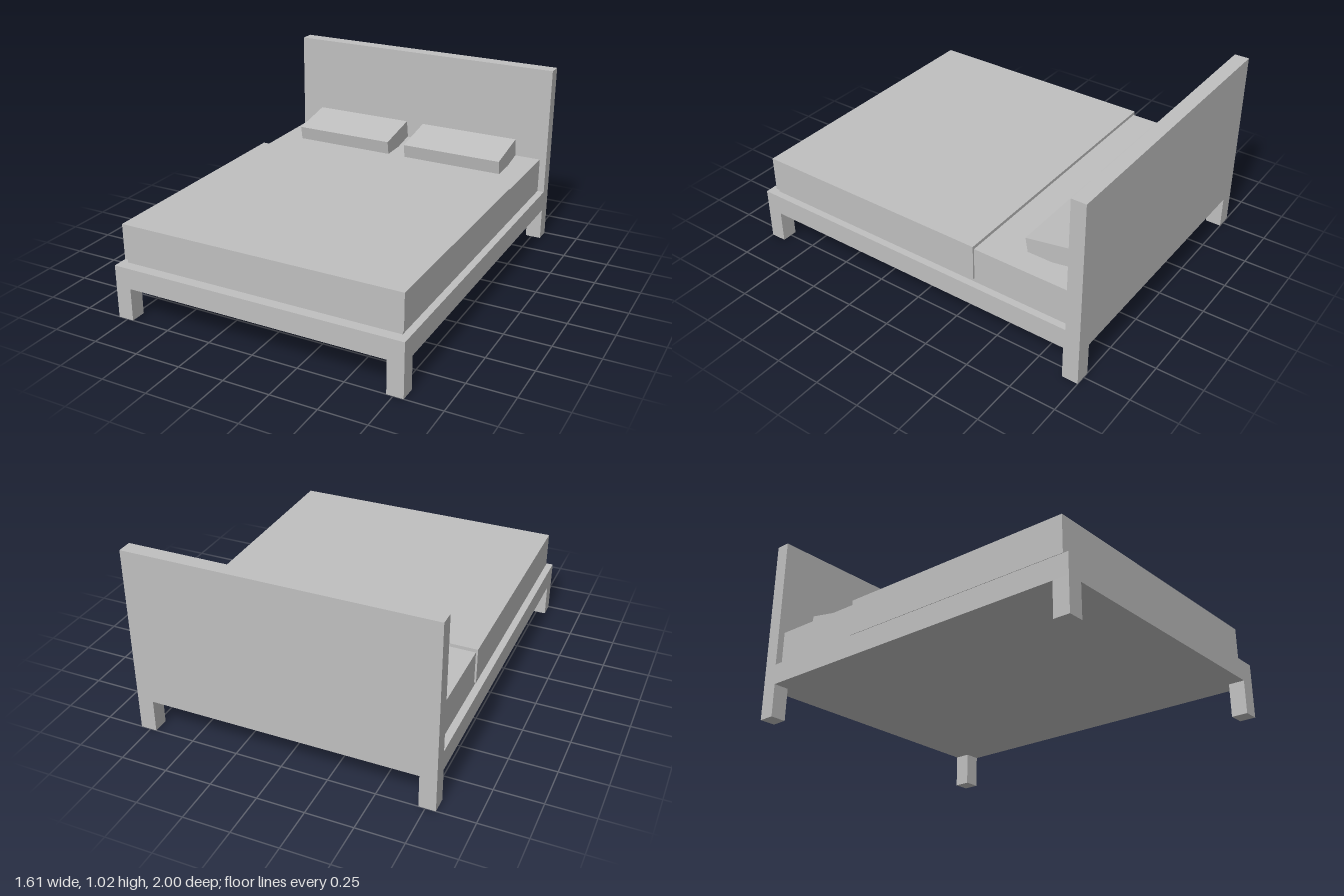
import * as THREE from 'three';

const fabric = new THREE.MeshStandardMaterial({ color: 0xbfbfbf });
fabric.name = 'plain grey';

// Box given by its extents along each axis
function block(name, [x0, x1], [y0, y1], [z0, z1]) {
  const mesh = new THREE.Mesh(new THREE.BoxGeometry(x1 - x0, y1 - y0, z1 - z0), fabric);
  mesh.position.set((x0 + x1) / 2, (y0 + y1) / 2, (z0 + z1) / 2);
  mesh.name = name;
  return mesh;
}

export function createModel() {
  const bed = new THREE.Group();
  bed.name = 'bed';
  const W = 0.803, LEG = 0.087, RAIL = 0.18, DECK = 0.293;

  // Base slab and headboard
  bed.add(block('frame', [-W, W], [RAIL, DECK], [-1, 1]));
  bed.add(block('headboard', [-W, W], [DECK, 1.025], [-1, -0.921]));

  // Mattress with the blanket wrapped around its front part
  bed.add(block('mattress', [-0.765, 0.765], [DECK, 0.49], [-0.921, 0.942]));
  bed.add(block('blanket', [-0.775, 0.775], [0.314, 0.508], [-0.378, 0.951]));

  for (const side of [-1, 1]) {
    const name = side > 0 ? 'left' : 'right';

    // Corner legs
    for (const end of [-1, 1]) {
      const leg = new THREE.Mesh(new THREE.BoxGeometry(LEG, RAIL, LEG), fabric);
      leg.position.set(side * (W - LEG / 2), RAIL / 2, end * (1 - LEG / 2));
      leg.name = name + (end > 0 ? 'FrontLeg' : 'BackLeg');
      bed.add(leg);
    }

    // Pillow, tipped up towards the headboard
    const pillow = new THREE.Mesh(new THREE.BoxGeometry(0.583, 0.103, 0.271), fabric);
    pillow.position.set(side * 0.3435, 0.5405, -0.7255);
    pillow.rotation.x = 0.178;
    pillow.name = name + 'Pillow';
    bed.add(pillow);
  }
  return bed;
}
